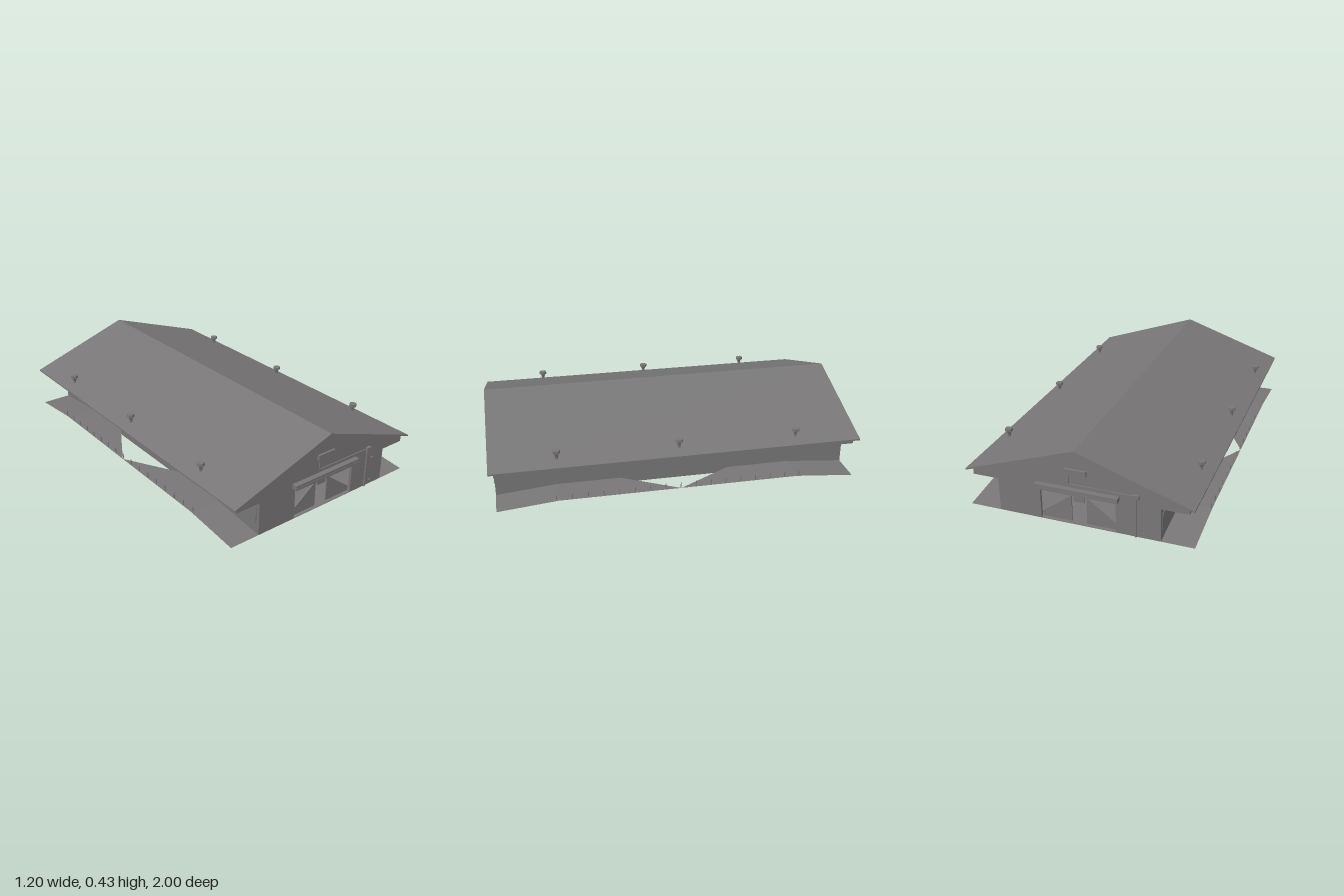
import * as THREE from 'three';

const grey = new THREE.MeshStandardMaterial({ color: 0x787677, side: THREE.DoubleSide });
grey.name = 'grey';

function add(parent, name, geometry, x = 0, y = 0, z = 0) {
  const mesh = new THREE.Mesh(geometry, grey);
  mesh.name = name;
  mesh.position.set(x, y, z);
  parent.add(mesh);
  return mesh;
}

// box given by its limits on each axis
function block(parent, name, x0, x1, y0, y1, z0, z1) {
  return add(parent, name, new THREE.BoxGeometry(x1 - x0, y1 - y0, z1 - z0),
    (x0 + x1) / 2, (y0 + y1) / 2, (z0 + z1) / 2);
}

const shape = (pts) => new THREE.Shape(pts.map(([x, y]) => new THREE.Vector2(x, y)));

function plate(parent, name, pts, z, depth) {
  const geometry = new THREE.ExtrudeGeometry(shape(pts), { depth, bevelEnabled: false });
  return add(parent, name, geometry, 0, 0, z);
}

// gable end with doorway, track, partitions and wiring
function createEnd() {
  const end = new THREE.Group();
  end.name = 'gableEnd';
  plate(end, 'gableWall', [
    [-0.43, 0], [-0.2, 0], [-0.2, 0.185], [0.2, 0.185], [0.2, 0], [0.43, 0],
    [0.43, 0.183], [0.57, 0.183], [0.57, 0.223], [0, 0.416], [-0.57, 0.223],
    [-0.57, 0.183], [-0.43, 0.183],
  ], 0.955, 0.015);

  block(end, 'doorTrack', -0.22, 0.22, 0.196, 0.21, 0.97, 0.998);
  block(end, 'doorTrackLip', -0.22, 0.22, 0.184, 0.196, 0.97, 1.0);

  // sloping partitions just inside the doorway
  for (const s of [-1, 1]) {
    plate(end, 'partition', [
      [s * 0.04, 0], [s * 0.2, 0], [s * 0.2, 0.03], [s * 0.04, 0.15],
    ], 0.945, 0.006);
  }
  plate(end, 'hangingPanel', [
    [-0.028, 0.12], [0.028, 0.12], [0.028, 0.163], [0, 0.183], [-0.028, 0.163],
  ], 0.945, 0.006);

  // lamp box and conduit
  block(end, 'lampBox', -0.06, 0.053, 0.286, 0.316, 0.97, 0.982);
  block(end, 'conduitDrop', -0.046, -0.041, 0.228, 0.286, 0.97, 0.976);
  block(end, 'conduitRun', -0.046, 0.295, 0.226, 0.231, 0.97, 0.976);
  block(end, 'junctionBox', 0.293, 0.322, 0.216, 0.239, 0.97, 0.985);
  block(end, 'downPipe', 0.3, 0.307, 0, 0.216, 0.97, 0.978);
  for (const y of [0.027, 0.165]) block(end, 'hinge', 0.337, 0.351, y - 0.002, y + 0.002, 0.97, 0.977);
  return end;
}

// raised side apron with ramped ends and a triangular gap at mid-length
function createApron() {
  const inner = [[0.43, 0, 0.97], [0.43, 0.03, 0.65], [0.43, 0.03, 0.3]];
  const outer = [[0.6, 0, 0.97], [0.6, 0.03, 0.65], [0.6, 0.03, 0]];
  const pos = [];
  for (const s of [1, -1]) {
    for (let i = 0; i < 2; i++) {
      const quad = [inner[i], outer[i], outer[i + 1], inner[i], outer[i + 1], inner[i + 1]];
      if (s < 0) quad.reverse();
      for (const [x, y, z] of quad) pos.push(x, y, z * s);
    }
  }
  const geometry = new THREE.BufferGeometry();
  geometry.setAttribute('position', new THREE.Float32BufferAttribute(pos, 3));
  geometry.computeVertexNormals();
  return geometry;
}

// hexagonal roof vent
function createVent() {
  const vent = new THREE.Group();
  vent.name = 'roofVent';
  const part = (name, top, bottom, y0, y1) =>
    add(vent, name, new THREE.CylinderGeometry(top, bottom, y1 - y0, 6).toNonIndexed(), 0, (y0 + y1) / 2, 0)
      .geometry.computeVertexNormals();
  part('ventStem', 0.008, 0.008, -0.01, 0.014);
  part('ventFunnel', 0.015, 0.008, 0.014, 0.034);
  part('ventCap', 0.021, 0.021, 0.034, 0.049);
  return vent;
}

// one long side, built on +x
function createSide() {
  const side = new THREE.Group();
  side.name = 'longSide';
  block(side, 'sideWall', 0.42, 0.43, 0, 0.185, -0.96, 0.96);
  block(side, 'eaveBox', 0.42, 0.57, 0.183, 0.221, -0.956, 0.956);
  add(side, 'apron', createApron());
  for (const z of [-0.93, 0.93]) block(side, 'sideHatch', 0.43, 0.434, 0.06, 0.15, z - 0.02, z + 0.02);

  // row of low posts along the apron edge
  for (let i = -8; i <= 8; i++) {
    const z = i * 0.0825;
    block(side, 'post', 0.592, 0.596, 0.03, 0.05, z - 0.002, z + 0.002);
    block(side, 'postHead', 0.594, 0.598, 0.046, 0.062, z - 0.002, z + 0.002);
  }
  for (const z of [-0.645, 0, 0.645]) {
    const vent = createVent();
    vent.position.set(0.535, 0.242, z);
    side.add(vent);
  }
  return side;
}

export function createModel() {
  const model = new THREE.Group();
  model.name = 'barn';

  block(model, 'floor', -0.43, 0.43, 0, 0.003, -0.97, 0.97);
  plate(model, 'roof', [
    [-0.6, 0.222], [-0.6, 0.214], [0, 0.415], [0.6, 0.214], [0.6, 0.222], [0, 0.427],
  ], -0.995, 1.99);

  for (const angle of [0, Math.PI]) {
    const end = createEnd();
    end.rotation.y = angle;
    model.add(end);
    const side = createSide();
    side.rotation.y = angle;
    model.add(side);
  }
  return model;
}
